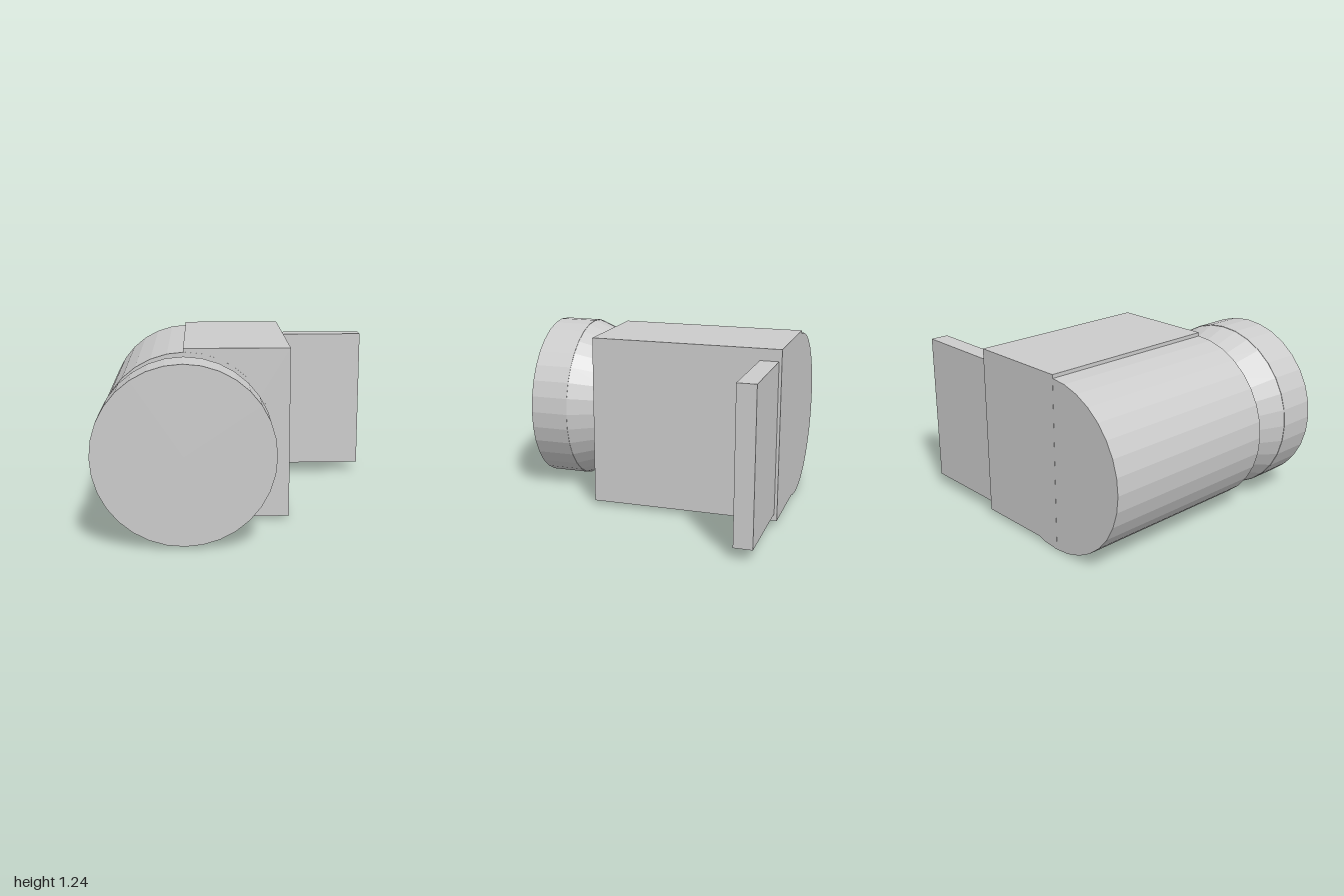
import * as THREE from 'three';

export function createModel() {
  const group = new THREE.Group();
  const material = new THREE.MeshStandardMaterial({ color: 0xcccccc, flatShading: true });

  const add = (name, geometry, x, y, z) => {
    const mesh = new THREE.Mesh(geometry, material);
    mesh.name = name;
    mesh.position.set(x, y, z);
    group.add(mesh);
  };

  // Box given by its limits on each axis
  const box = (name, x0, x1, y0, y1, z0, z1) =>
    add(name, new THREE.BoxGeometry(x1 - x0, y1 - y0, z1 - z0),
      (x0 + x1) / 2, (y0 + y1) / 2, (z0 + z1) / 2);

  // 32-sided round part along z, from back (z0) to front (z1)
  const round = (name, backRadius, frontRadius, x, y, z0, z1) =>
    add(name, new THREE.CylinderGeometry(frontRadius, backRadius, z1 - z0, 32).rotateX(Math.PI / 2),
      x, y, (z0 + z1) / 2);

  // Main body: a block with a rounded side
  box('bodyBlock', -0.4, 0.335, 0.03, 1.235, -0.945, 0.4);
  round('bodyRoundedSide', 0.605, 0.605, -0.392, 0.605, -0.944, 0.402);

  // Flaring neck and front barrel
  round('flaredNeck', 0.5, 0.602, -0.395, 0.62, 0.4, 0.668);
  round('frontBarrel', 0.605, 0.605, -0.395, 0.62, 0.668, 0.945);

  // Flat side panel
  box('sidePanel', 0.335, 1, 0.08, 1.152, -0.925, -0.795);

  return group;
}
